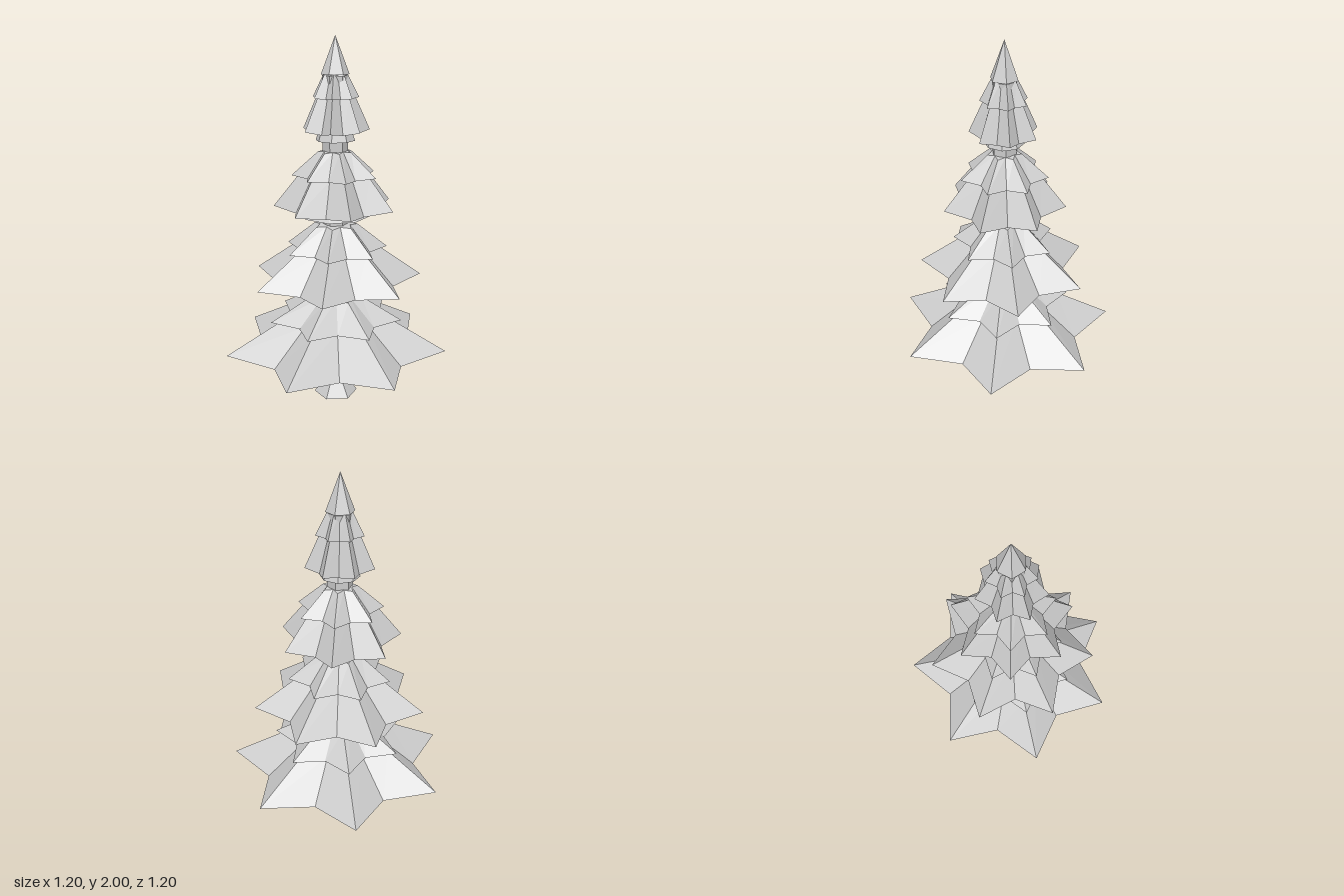
import * as THREE from 'three';

const SPIKES = 7;

// Stacks star-shaped rings [tipRadius, tipY, innerRadius, innerY] from bottom to top
function starGeometry(rings, startDegrees) {
  const count = SPIKES * 2;
  const start = THREE.MathUtils.degToRad(startDegrees);
  const point = (ring, i) => {
    const k = i % count;
    const [r, y] = k % 2 === 0 ? [ring[0], ring[1]] : [ring[2], ring[3]];
    const a = start + (k / count) * Math.PI * 2;
    return [r * Math.cos(a), y, r * Math.sin(a)];
  };
  const pos = [];
  for (let j = 0; j < rings.length - 1; j++) {
    const low = rings[j], high = rings[j + 1];
    for (let i = 0; i < count; i++) {
      const a = point(low, i), b = point(low, i + 1);
      const c = point(high, i), d = point(high, i + 1);
      if (low[0] > 0) pos.push(...a, ...c, ...b);
      if (high[0] > 0) pos.push(...b, ...c, ...d);
    }
  }
  const geo = new THREE.BufferGeometry();
  geo.setAttribute('position', new THREE.Float32BufferAttribute(pos, 3));
  geo.computeVertexNormals();
  return geo;
}

export function createModel() {
  const model = new THREE.Group();
  model.name = 'pineTree';
  const grey = new THREE.MeshStandardMaterial({ color: 0xcccccc, flatShading: true });
  grey.name = 'paleGrey';

  const tree = new THREE.Group();
  tree.name = 'tree';
  tree.position.set(-0.015, 0, -0.015);
  model.add(tree);

  const add = (name, geo) => {
    const mesh = new THREE.Mesh(geo, grey);
    mesh.name = name;
    tree.add(mesh);
  };
  const frustum = (name, rTop, rBottom, y0, y1, sides) => {
    const geo = new THREE.CylinderGeometry(rTop, rBottom, y1 - y0, sides);
    geo.translate(0, (y0 + y1) / 2, 0);
    add(name, geo);
  };

  // Six-sided trunk with a flared foot
  frustum('trunkFoot', 0.067, 0.122, 0, 0.08, 6);
  frustum('trunk', 0.067, 0.067, 0.08, 1.8, 6);

  // Branch tiers: wide lower star, narrower upper star, eight-sided skirt below
  const tiers = [
    { angle: -6.9, r: 0.62, y: 0.3, drop: 0.02, r2: 0.37, y2: 0.47, rTop: 0.145, yTop: 0.595, skirt: 0.34, skirtTop: 0.24, skirtY: 0.24 },
    { angle: -22, r: 0.475, y: 0.705, drop: 0.016, r2: 0.283, y2: 0.875, rTop: 0.12, yTop: 1.005, skirt: 0.25, skirtTop: 0.18, skirtY: 0.65 },
    { angle: 8, r: 0.332, y: 1.11, drop: 0.016, r2: 0.234, y2: 1.28, rTop: 0.092, yTop: 1.405, skirt: 0.19, skirtTop: 0.15, skirtY: 1.06 },
    { angle: -22.2, r: 0.182, y: 1.52, drop: 0.014, r2: 0.125, y2: 1.69, rTop: 0.065, yTop: 1.805, skirt: 0.105, skirtTop: 0.09, skirtY: 1.465 },
  ];
  const inner = 0.7;
  tiers.forEach((t, n) => {
    const ring = (r, y, drop) => [r, y, r * inner, y - drop];
    const base = t.y - t.drop;
    const rings = [
      [0, base, 0, base],
      ring(t.r, t.y, t.drop),
      ring(t.r2 * 0.84, t.y2, 0.006),
      ring(t.r2, t.y2 - 0.002, 0.006),
      ring(t.rTop, t.yTop, -0.005),
      [0, t.yTop + 0.008, 0, t.yTop + 0.008],
    ];
    add(`branchTier${n + 1}`, starGeometry(rings, t.angle));
    frustum(`underSkirt${n + 1}`, t.skirtTop, t.skirt, t.skirtY, base + 0.004, 8);
  });

  // Six-sided pointed top
  const tip = new THREE.ConeGeometry(0.074, 0.195, 6);
  tip.translate(0, 1.9025, 0);
  add('treeTop', tip);

  return model;
}
